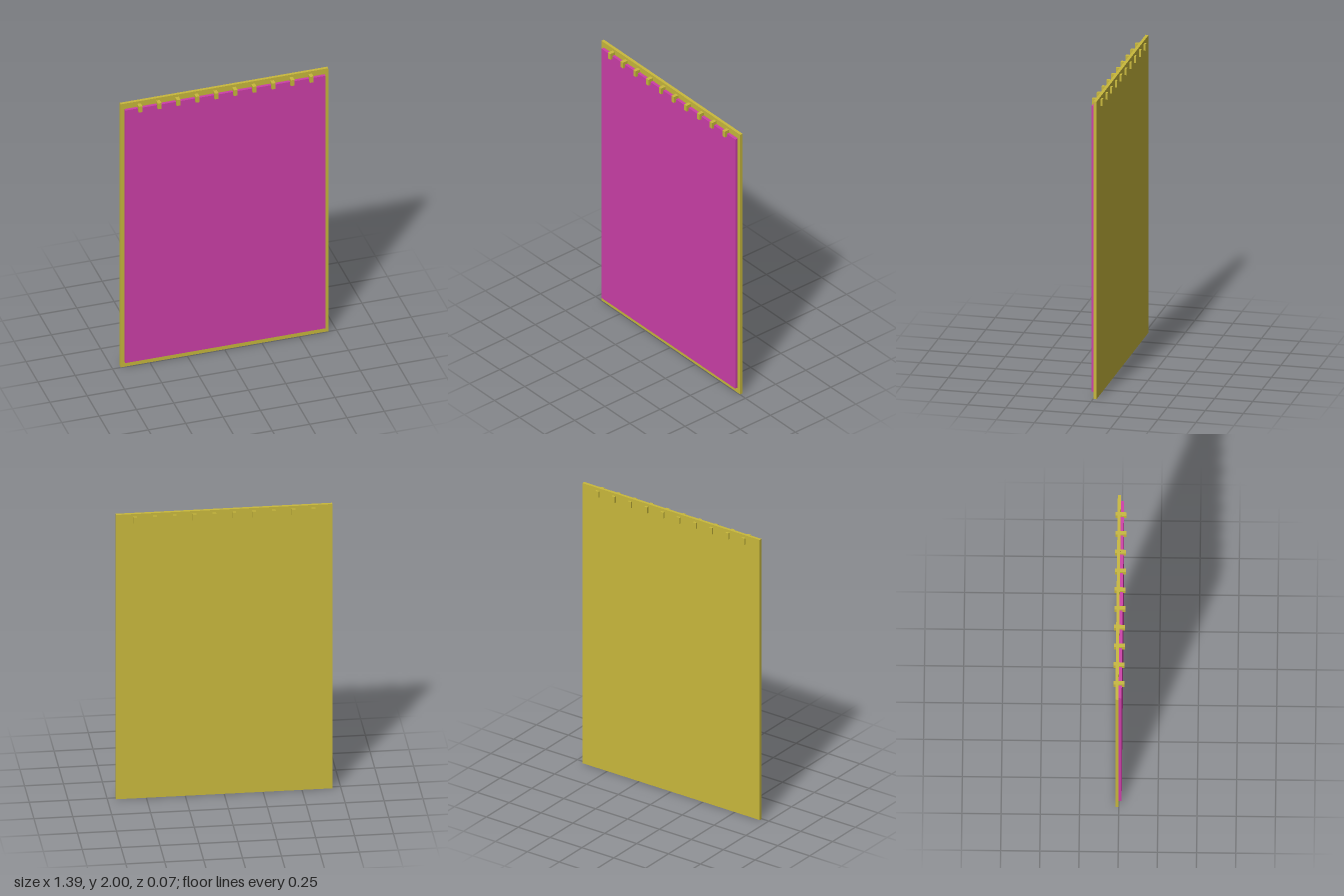
import * as THREE from 'three';

export function createModel() {
  const group = new THREE.Group();
  const gold = new THREE.MeshStandardMaterial({ color: 0xc8b83c });
  const magenta = new THREE.MeshStandardMaterial({ color: 0xcc3fa8 });

  function box(name, size, position, material) {
    const mesh = new THREE.Mesh(new THREE.BoxGeometry(...size), material);
    mesh.name = name;
    mesh.position.set(...position);
    group.add(mesh);
  }

  // Backing board and the raised sheet on its front
  box('backingBoard', [1.39, 2, 0.02], [0, 1, -0.012], gold);
  box('sheet', [1.34, 1.92, 0.02], [0, 1, 0.008], magenta);

  // Row of binding clips passing through the board along the top
  const clipCount = 10;
  for (let i = 0; i < clipCount; i++) {
    const x = -0.573 + (i * 1.146) / (clipCount - 1);
    box(`clip${i + 1}`, [0.024, 0.044, 0.07], [x, 1.96, 0], gold);
  }

  return group;
}
